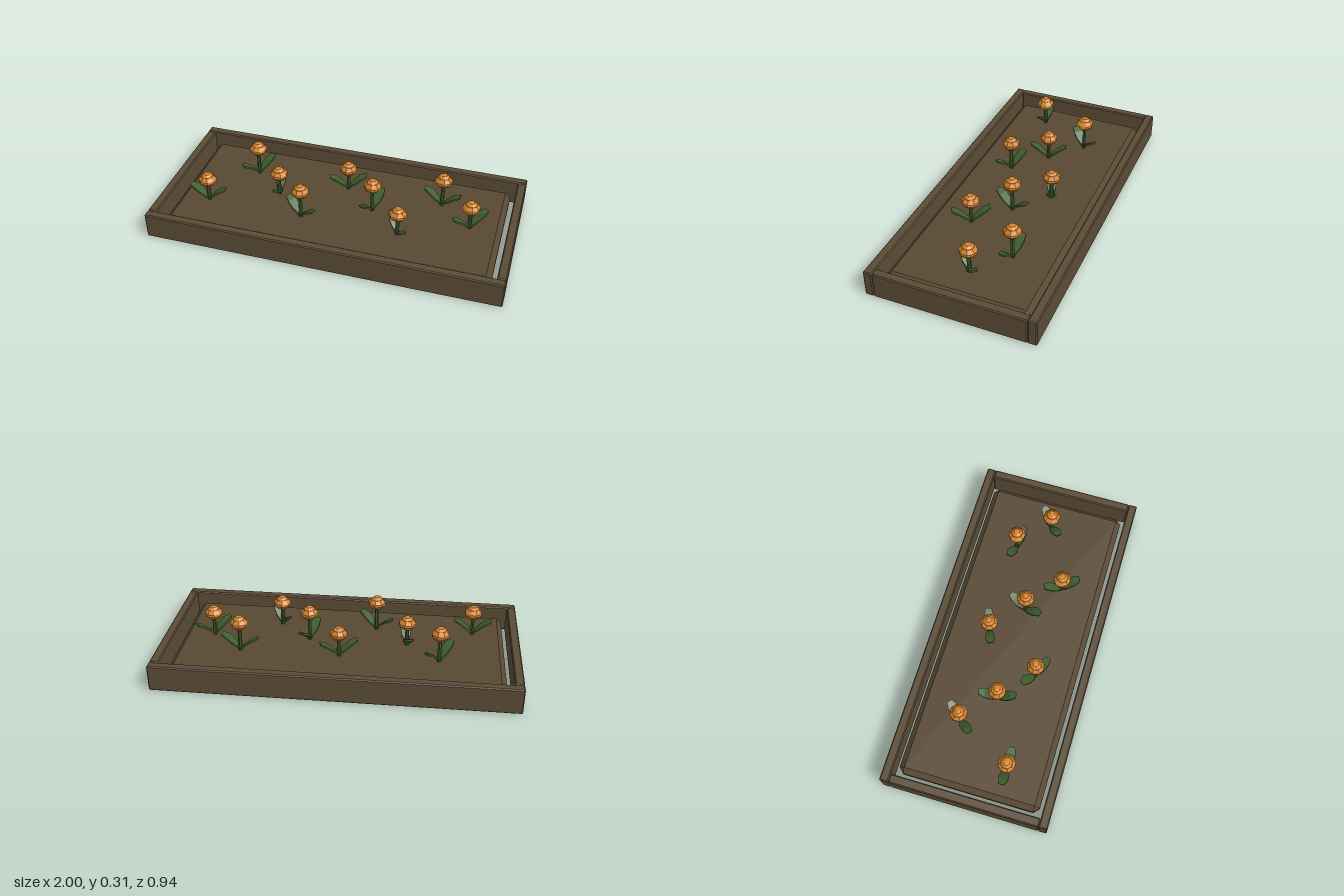
import * as THREE from 'three';
import { ConvexGeometry } from 'three/addons/geometries/ConvexGeometry.js';

const makeMaterial = (name, color) => {
  const m = new THREE.MeshStandardMaterial({ color, flatShading: true });
  m.name = name;
  return m;
};

// Box whose edges and corners are cut by a single chamfer
function chamferBox(w, h, d, b) {
  const points = [];
  for (const x of [-1, 1]) for (const y of [-1, 1]) for (const z of [-1, 1]) {
    for (const [a, c, e] of [[0, b, b], [b, 0, b], [b, b, 0]]) {
      points.push(new THREE.Vector3(x * (w / 2 - a), y * (h / 2 - c), z * (d / 2 - e)));
    }
  }
  return new ConvexGeometry(points);
}

// Leaf along +x: a thin slab bent upwards, each station being [reach, height, width]
function leafGeometry() {
  const stations = [[0.005, 0.115, 0.02], [0.035, 0.142, 0.05], [0.07, 0.172, 0.056], [0.105, 0.188, 0.032]];
  const geo = new THREE.BoxGeometry(3, 1, 1, 3, 1, 1);
  const pos = geo.attributes.position;
  for (let i = 0; i < pos.count; i++) {
    const [reach, height, width] = stations[Math.round(pos.getX(i) + 1.5)];
    pos.setXYZ(i, reach, height + pos.getY(i) * 0.012, pos.getZ(i) * width);
  }
  geo.computeVertexNormals();
  return geo;
}

// Eight-sided turned form from [radius, height] points
const turned = (points) =>
  new THREE.LatheGeometry(points.map(([r, y]) => new THREE.Vector2(r, y)), 8, Math.PI / 8);

export function createModel() {
  const model = new THREE.Group();
  model.name = 'flowerBed';
  const wood = makeMaterial('brownWood', 0x5a4b35);
  const earth = makeMaterial('brownSoil', 0x584833);
  const stemGreen = makeMaterial('stemGreen', 0x39592f);
  const leafGreen = makeMaterial('leafGreen', 0x406030);
  const orange = makeMaterial('orangePetal', 0xd6842c);

  const add = (parent, name, geometry, material, x = 0, y = 0, z = 0) => {
    const mesh = new THREE.Mesh(geometry, material);
    mesh.name = name;
    mesh.position.set(x, y, z);
    parent.add(mesh);
    return mesh;
  };

  // Frame boards and soil
  const longBoard = chamferBox(2, 0.15, 0.05, 0.006);
  const endBoard = chamferBox(0.05, 0.15, 0.84, 0.006);
  add(model, 'frontBoard', longBoard, wood, 0, 0.075, 0.445);
  add(model, 'backBoard', longBoard, wood, 0, 0.075, -0.445);
  add(model, 'leftBoard', endBoard, wood, 0.975, 0.075, 0);
  add(model, 'rightBoard', endBoard, wood, -0.975, 0.075, 0);
  add(model, 'soil', chamferBox(1.84, 0.09, 0.8, 0.03), earth, 0, 0.055, 0);

  // Shared flower shapes, with the head measured from its widest ring
  const leaf = leafGeometry();
  const petals = turned([[0, -0.035], [0.034, -0.028], [0.05, -0.008], [0.05, 0.006], [0.034, 0.026], [0, 0.03]]);
  const button = turned([[0, 0.012], [0.034, 0.022], [0.03, 0.03], [0.018, 0.04], [0, 0.042]]);

  // Nine flowers in three staggered rows, alternating low and high
  const rows = [0.17, -0.155, 0.005];
  for (let i = 0; i < 9; i++) {
    const flower = new THREE.Group();
    flower.name = 'flower' + (i + 1);
    flower.position.set((i - 4) * 0.185, 0, rows[i % 3]);
    flower.rotation.y = -THREE.MathUtils.degToRad(130 * i);
    model.add(flower);

    const headY = i % 2 ? 0.271 : 0.239;
    const stemHeight = headY - 0.09;
    const stem = new THREE.CylinderGeometry(0.01, 0.012, stemHeight, 6);
    add(flower, 'stem', stem, stemGreen, 0, 0.08 + stemHeight / 2, 0);
    add(flower, 'petals', petals, orange, 0, headY, 0);
    add(flower, 'button', button, orange, 0, headY, 0);
    for (const turn of [0, Math.PI]) add(flower, 'leaf', leaf, leafGreen).rotation.y = turn;
  }
  return model;
}
